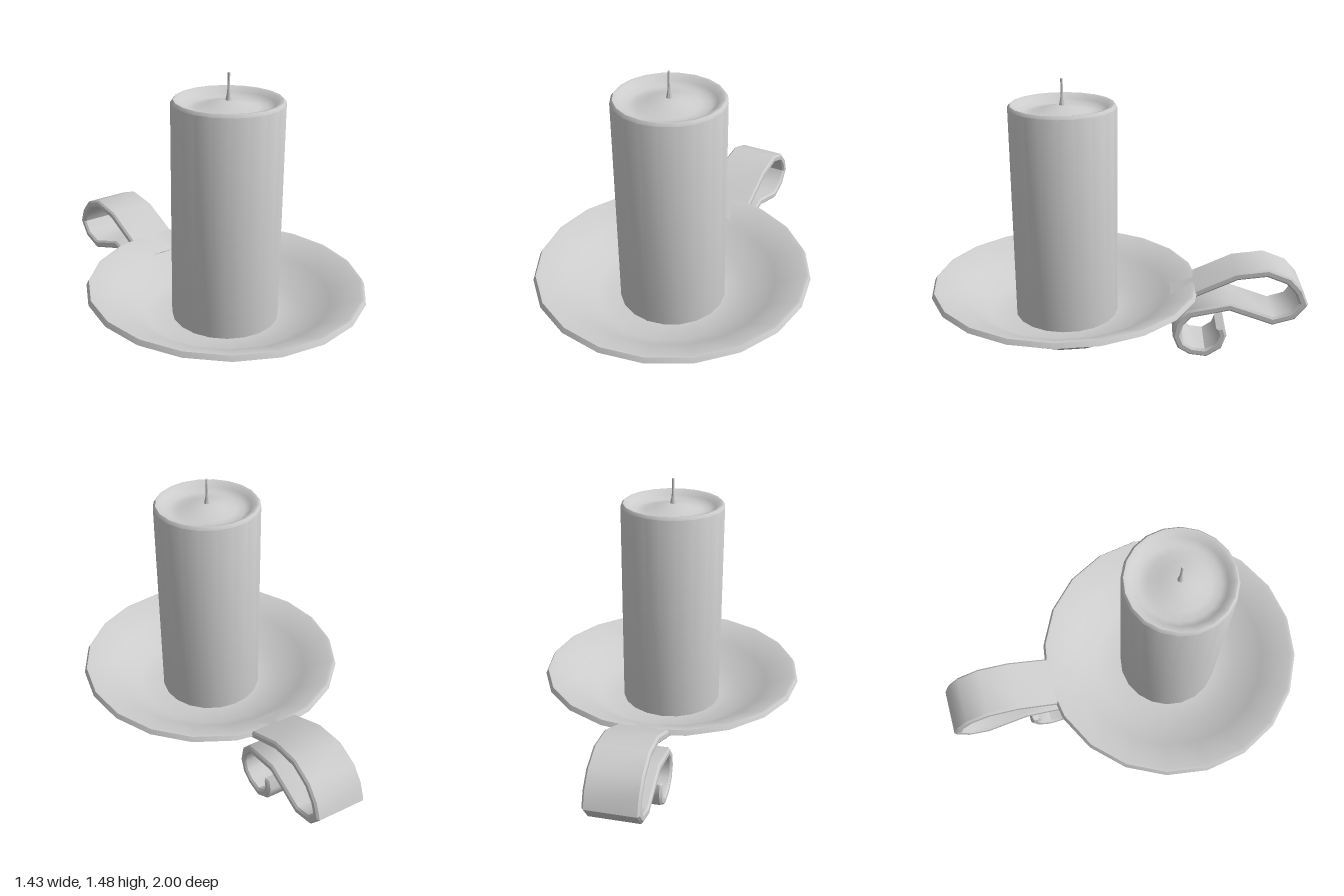
import * as THREE from 'three';
import { toCreasedNormals } from 'three/addons/utils/BufferGeometryUtils.js';

const CENTER_Z = 0.28; // axis of dish and candle

export function createModel() {
  const group = new THREE.Group();
  const material = new THREE.MeshStandardMaterial({ color: 0xcccccc });

  const add = (name, geometry, z = 0) => {
    const mesh = new THREE.Mesh(toCreasedNormals(geometry, 0.7), material);
    mesh.name = name;
    mesh.position.z = z;
    group.add(mesh);
  };
  // Profiles run from the bottom, outwards, and back to the axis at the top
  const lathe = (name, profile, sides) => add(name,
    new THREE.LatheGeometry(profile.map(([r, y]) => new THREE.Vector2(r, y)), sides), CENTER_Z);

  // Shallow dish with a bevelled rim
  lathe('dish', [
    [0, 0.2], [0.27, 0.2], [0.415, 0.2], [0.55, 0.3], [0.715, 0.38],
    [0.702, 0.404], [0.685, 0.402], [0.54, 0.332], [0.405, 0.235], [0.27, 0.222], [0, 0.222],
  ], 20);

  // Candle running through the dish, with a melted hollow at the top
  lathe('candle', [
    [0, 0.15], [0.262, 0.15], [0.275, 0.162], [0.275, 1.345], [0.263, 1.36],
    [0.245, 1.357], [0.225, 1.335], [0.195, 1.318], [0.15, 1.322],
    [0.1, 1.337], [0.05, 1.35], [0, 1.356],
  ], 20);

  // Wick flaring into the wax
  lathe('wick', [
    [0.016, 1.35], [0.013, 1.365], [0.008, 1.39], [0.006, 1.42], [0.006, 1.486], [0, 1.488],
  ], 8);

  // Scrolled strap handle: centre line as [distance backwards, height]
  const path = [
    [0.297, 0.332], [0.404, 0.38], [0.62, 0.482], [0.78, 0.503], [0.892, 0.46],
    [0.95, 0.396], [0.977, 0.327], [0.924, 0.257], [0.822, 0.225], [0.592, 0.305],
    [0.378, 0.257], [0.329, 0.198], [0.316, 0.129], [0.34, 0.07], [0.394, 0.037],
    [0.474, 0.027], [0.538, 0.07], [0.56, 0.134], [0.549, 0.171],
  ].map(([u, v]) => new THREE.Vector2(u, v));

  // Mitred offset of the centre line to one side
  const offset = (distance) => path.map((p, i) => {
    const before = p.clone().sub(path[Math.max(i - 1, 0)]).normalize();
    const after = path[Math.min(i + 1, path.length - 1)].clone().sub(p).normalize();
    const along = before.clone().add(after).normalize();
    const miter = distance / Math.max(along.dot(i ? before : after), 0.5);
    return new THREE.Vector2(p.x - along.y * miter, p.y + along.x * miter);
  });
  const bevel = 0.01;
  const strap = new THREE.Shape([...offset(-0.011), ...offset(0.011).reverse()]);
  const width = 0.268;
  const handle = new THREE.ExtrudeGeometry(strap, {
    depth: width - 2 * bevel, bevelEnabled: true,
    bevelThickness: bevel, bevelSize: bevel, bevelSegments: 1,
  });
  handle.translate(0, 0, bevel - width / 2);
  handle.rotateY(Math.PI / 2);
  add('handle', handle);

  return group;
}
